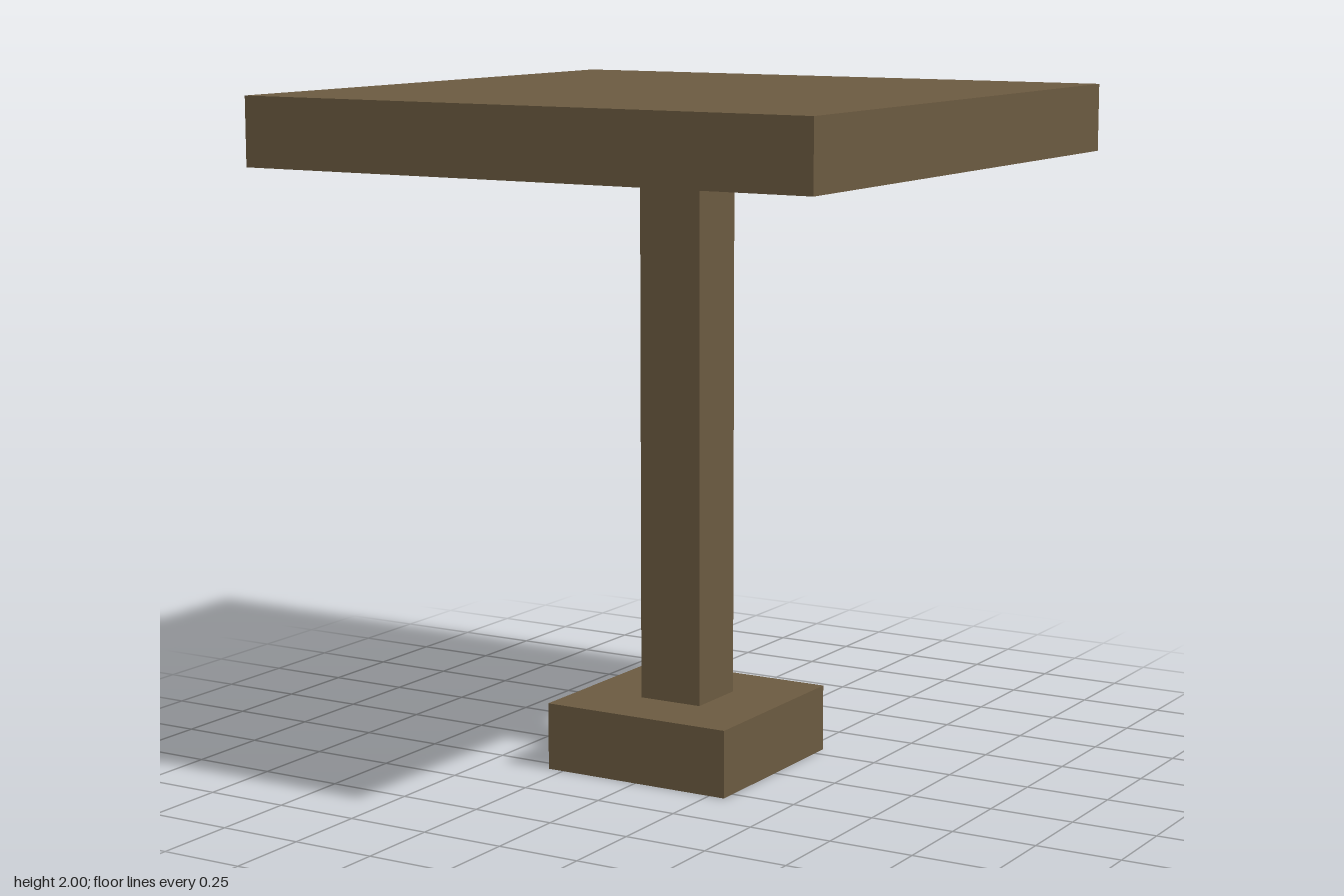
import * as THREE from 'three';

const wood = new THREE.MeshStandardMaterial({ color: 0x6b5a40 });
wood.name = 'brown wood';

// Square block of the given width, standing between two heights
function block(name, width, bottom, top) {
  const mesh = new THREE.Mesh(new THREE.BoxGeometry(width, top - bottom, width), wood);
  mesh.name = name;
  mesh.position.y = (bottom + top) / 2;
  return mesh;
}

export function createModel() {
  const table = new THREE.Group();
  table.name = 'pedestalTable';
  table.add(
    block('base', 0.6, 0, 0.2),
    block('post', 0.2, 0.2, 1.8),
    block('tableTop', 1.8, 1.8, 2),
  );
  return table;
}
